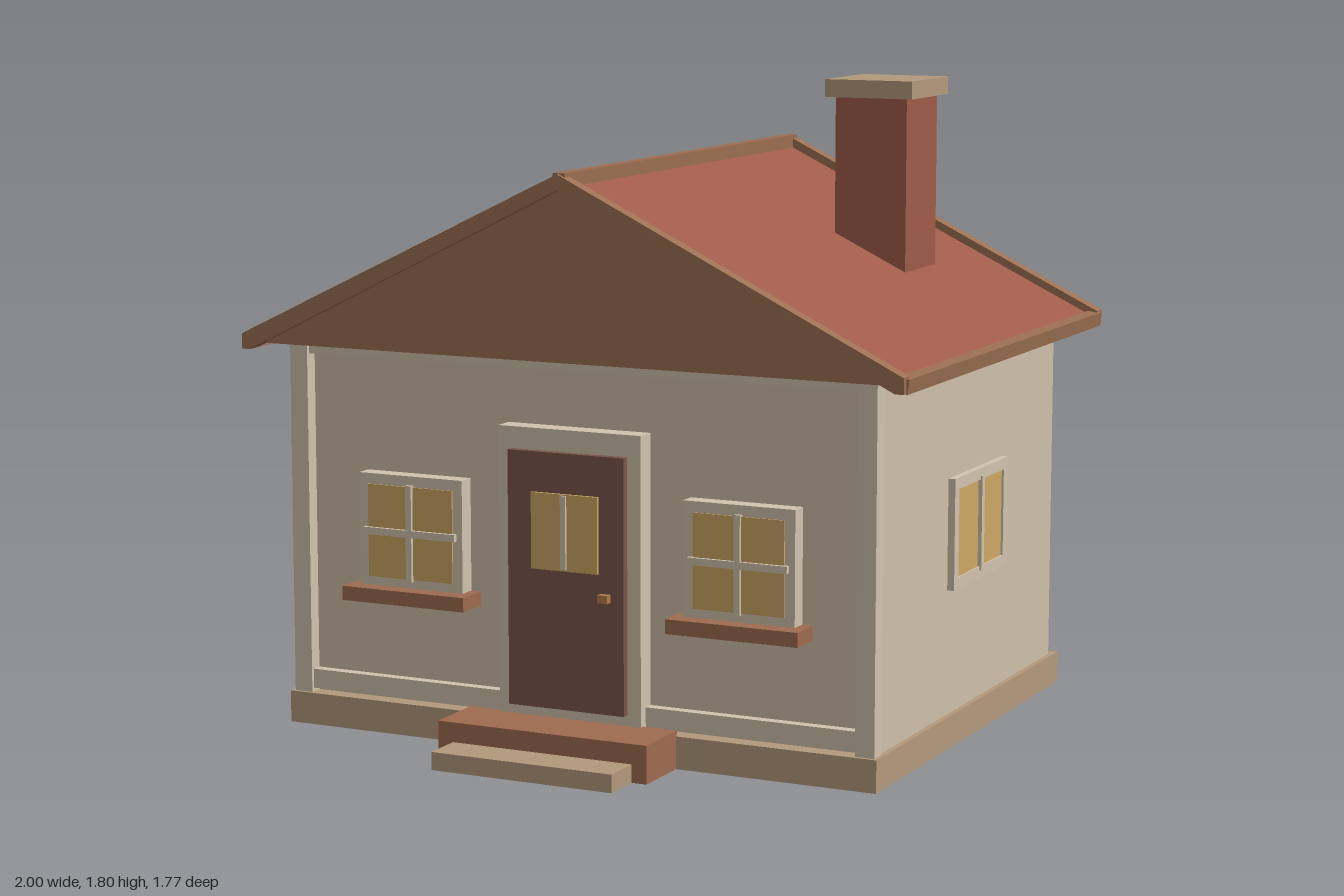
import * as THREE from 'three';

const mat = (name, color) => {
  const m = new THREE.MeshStandardMaterial({ color });
  m.name = name;
  return m;
};

export function createModel() {
  const house = new THREE.Group();
  house.name = 'house';

  const plaster = mat('plaster', 0xd0c0a9);
  const trim = mat('trim', 0xd2c4ae);
  const stone = mat('stone', 0xb49a7d);
  const tile = mat('roofTile', 0xa05c4a);
  const brick = mat('brick', 0xa05c4a);
  const timber = mat('timber', 0x9c7052);
  const porchWood = mat('porchWood', 0xa06c50);
  const doorPaint = mat('doorPaint', 0x7a564b);
  const glass = mat('glass', 0xcfa866);
  const brass = mat('brass', 0xb07c48);

  // Box given by its min and max on each axis
  const box = (name, m, x0, x1, y0, y1, z0, z1, parent = house) => {
    const mesh = new THREE.Mesh(new THREE.BoxGeometry(x1 - x0, y1 - y0, z1 - z0), m);
    mesh.position.set((x0 + x1) / 2, (y0 + y1) / 2, (z0 + z1) / 2);
    mesh.name = name;
    parent.add(mesh);
    return mesh;
  };
  // Outline in x/y extruded from z0 to z1
  const slab = (name, m, pts, z0, z1) => {
    const shape = new THREE.Shape(pts.map(p => new THREE.Vector2(p[0], p[1])));
    const geo = new THREE.ExtrudeGeometry(shape, { depth: z1 - z0, bevelEnabled: false });
    const mesh = new THREE.Mesh(geo, m);
    mesh.position.z = z0;
    mesh.name = name;
    house.add(mesh);
    return mesh;
  };
  // Rectangular frame with an opening, facing +z
  const frame = (name, w, h, border, depth, parent) => {
    const rect = (P, a, b) => new P([[-a, -b], [a, -b], [a, b], [-a, b]].map(p => new THREE.Vector2(p[0], p[1])));
    const shape = rect(THREE.Shape, w / 2, h / 2);
    shape.holes.push(rect(THREE.Path, w / 2 - border, h / 2 - border));
    const mesh = new THREE.Mesh(new THREE.ExtrudeGeometry(shape, { depth, bevelEnabled: false }), trim);
    mesh.name = name;
    parent.add(mesh);
  };

  // Body
  box('foundation', stone, -0.895, 0.895, 0, 0.09, -0.82, 0.59);
  box('walls', plaster, -0.88, 0.88, 0.09, 1.09, -0.78, 0.54);

  // Front wall trim
  box('topTrim', trim, -0.83, 0.83, 1.055, 1.09, 0.54, 0.57);
  for (const s of [-1, 1]) {
    const span = (a, b) => (s > 0 ? [a, b] : [-b, -a]);
    box('cornerTrim', trim, ...span(0.83, 0.885), 0.09, 1.09, 0.53, 0.58);
    box('baseTrim', trim, ...span(0.215, 0.83), 0.1, 0.155, 0.54, 0.57);
  }

  // Front windows
  for (const s of [-1, 1]) {
    const win = new THREE.Group();
    win.name = 'frontWindow';
    win.position.set(s * 0.498, 0.575, 0.54);
    frame('windowFrame', 0.325, 0.32, 0.03, 0.05, win);
    box('windowGlass', glass, -0.133, 0.133, -0.13, 0.13, 0.045, 0.054, win);
    box('verticalBar', trim, -0.009, 0.009, -0.135, 0.135, 0.05, 0.063, win);
    box('horizontalBar', trim, -0.145, 0.145, -0.01, 0.01, 0.05, 0.064, win);
    box('windowSill', porchWood, -0.192, 0.192, -0.195, -0.155, 0, 0.1, win);
    house.add(win);
  }

  // Side windows
  for (const s of [-1, 1]) {
    const win = new THREE.Group();
    win.name = 'sideWindow';
    win.position.set(s * 0.878, 0.595, -0.15);
    win.rotation.y = s * Math.PI / 2;
    frame('windowFrame', 0.41, 0.31, 0.032, 0.022, win);
    box('windowGlass', glass, -0.174, 0.174, -0.124, 0.124, 0.008, 0.016, win);
    box('verticalBar', trim, -0.01, 0.01, -0.133, 0.133, 0.012, 0.027, win);
    house.add(win);
  }

  // Door
  box('doorFrame', trim, -0.215, 0.215, 0.1, 0.9, 0.54, 0.6);
  box('door', doorPaint, -0.175, 0.175, 0.135, 0.84, 0.6, 0.622);
  box('doorGlass', glass, -0.1, 0.1, 0.52, 0.73, 0.622, 0.631);
  box('doorGlassBar', trim, -0.008, 0.008, 0.525, 0.727, 0.628, 0.638);
  box('doorKnob', brass, 0.106, 0.136, 0.445, 0.467, 0.622, 0.642);

  // Steps
  box('porch', porchWood, -0.315, 0.315, 0, 0.105, 0.585, 0.768);
  box('lowerStep', stone, -0.27, 0.27, 0, 0.05, 0.768, 0.885);

  // Roof
  slab('roof', tile, [[-0.97, 1.09], [0.97, 1.09], [0.97, 1.1], [0, 1.566], [-0.97, 1.1]], -0.85, 0.63);
  const gable = [[-0.93, 1.088], [0.93, 1.088], [0, 1.56]];
  const rake = [[0, 1.593], [-0.99, 1.113], [-0.99, 1.07], [-0.965, 1.07], [0, 1.55], [0.965, 1.07], [0.99, 1.07], [0.99, 1.113]];
  for (const [z0, z1, r0, r1] of [[0.63, 0.645, 0.622, 0.662], [-0.865, -0.85, -0.882, -0.842]]) {
    slab('gable', timber, gable, z0, z1);
    slab('rakeBoard', timber, rake, r0, r1);
  }
  for (const s of [-1, 1]) {
    const board = box('eaveBoard', timber, -0.018, 0.018, -0.02, 0.02, -0.865, 0.645);
    board.position.x = s * 0.978;
    board.position.y = 1.09;
    board.rotation.z = -s * 0.12;
  }
  box('ridgeCap', timber, -0.018, 0.018, 1.55, 1.595, -0.872, 0.652);

  // Chimney
  box('chimney', brick, 0.405, 0.62, 1.2, 1.755, -0.49, -0.26);
  box('chimneyCap', stone, 0.38, 0.643, 1.755, 1.805, -0.517, -0.24);

  return house;
}
